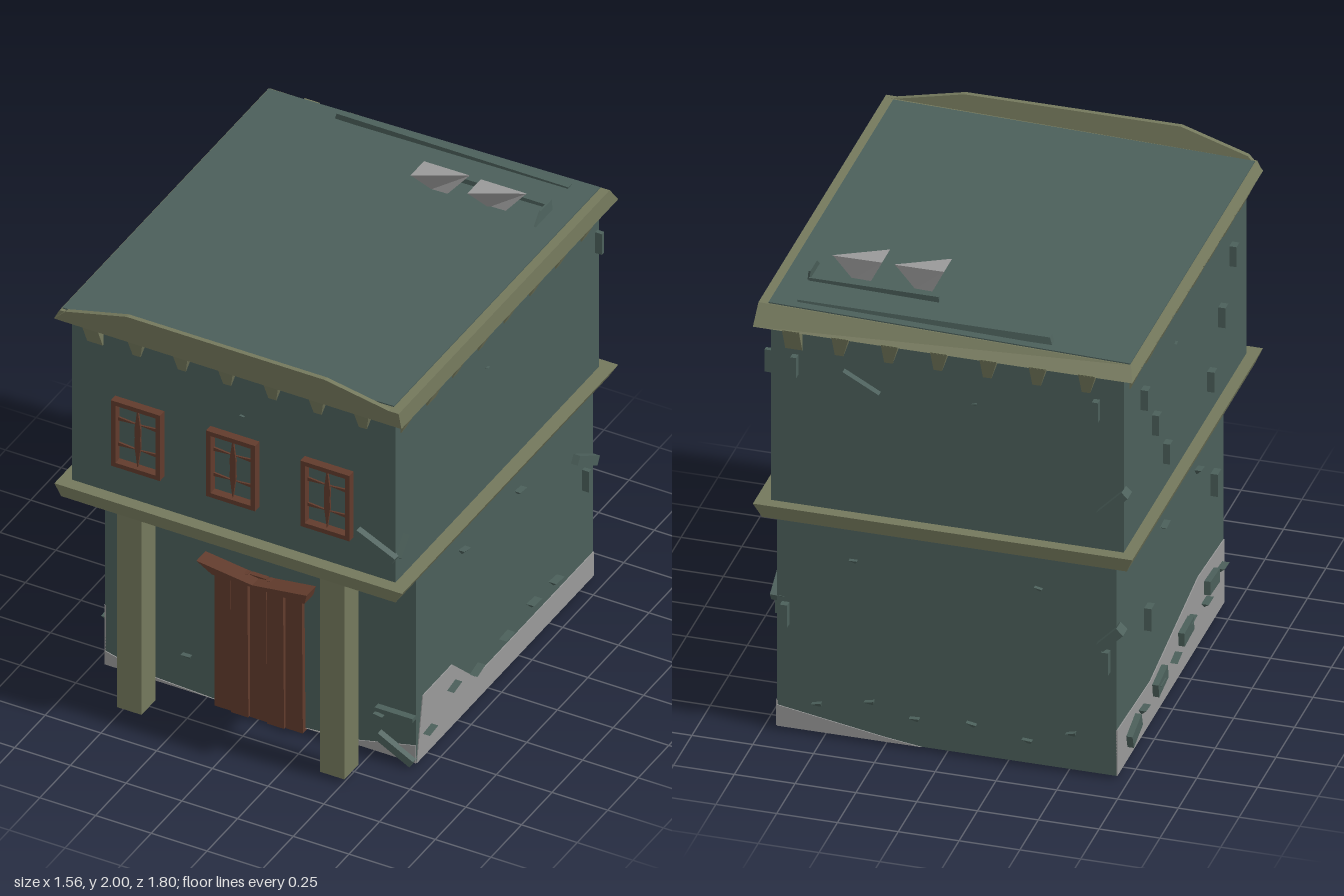
import * as THREE from 'three';

const teal = new THREE.MeshStandardMaterial({ color: 0x4b5f5a, side: THREE.DoubleSide });
const olive = new THREE.MeshStandardMaterial({ color: 0x74785c });
const brown = new THREE.MeshStandardMaterial({ color: 0x613b2c });
const grey = new THREE.MeshStandardMaterial({ color: 0x999999 });
teal.name = 'teal plaster';
olive.name = 'olive trim';
brown.name = 'brown wood';
grey.name = 'bare grey stone';

// Solid between two four-cornered loops, each counter-clockwise from above
function hull(b, t, caps = true) {
  const pos = [];
  const quad = (p, q, r, s) => pos.push(...p, ...q, ...r, ...p, ...r, ...s);
  for (let i = 0; i < 4; i++) {
    const j = (i + 1) % 4;
    quad(b[i], b[j], t[j], t[i]);
  }
  if (caps) {
    quad(t[0], t[1], t[2], t[3]);
    quad(b[3], b[2], b[1], b[0]);
  }
  const g = new THREE.BufferGeometry();
  g.setAttribute('position', new THREE.Float32BufferAttribute(pos, 3));
  g.computeVertexNormals();
  return g;
}

const rect = (x0, x1, z0, z1, y) => [[x0, y, z1], [x1, y, z1], [x1, y, z0], [x0, y, z0]];

function add(parent, name, geo, mat, x = 0, y = 0, z = 0, tilt = 0) {
  const m = new THREE.Mesh(geo, mat);
  m.name = name;
  m.position.set(x, y, z);
  m.rotation.z = tilt;
  parent.add(m);
  return m;
}

function plate(points, depth) {
  const shape = new THREE.Shape(points.map(p => new THREE.Vector2(...p)));
  return new THREE.ExtrudeGeometry(shape, { depth, bevelEnabled: false });
}

// Four groups (front, left, back, right): local x runs along the wall, local z points outwards
function wallFrames(parent, name, distances) {
  return distances.map((distance, side) => {
    const g = new THREE.Group();
    const angle = side * Math.PI / 2;
    g.name = name;
    g.rotation.y = angle;
    g.position.set(Math.sin(angle) * distance, 0, Math.cos(angle) * distance);
    parent.add(g);
    return g;
  });
}

function makeWindow(parent, x) {
  const w = new THREE.Group();
  w.name = 'window';
  w.position.set(x, 1.345, 0);
  parent.add(w);
  for (const s of [-1, 1]) {
    add(w, 'frameSide', new THREE.BoxGeometry(0.02, 0.315, 0.036), brown, s * 0.1, 0, 0.018);
    add(w, 'frameRail', new THREE.BoxGeometry(0.22, 0.02, 0.036), brown, 0, s * 0.148, 0.018);
    // Splintered glazing bars, thick at the frame and thin in the middle
    for (const y of [-0.062, 0.06]) {
      add(w, 'crossBar', plate([[s * 0.09, 0.008], [0, 0], [s * 0.09, -0.008]], 0.008), brown, 0, y, 0.004);
    }
    add(w, 'mullion', plate([[0, s * 0.145], [-0.014, s * 0.04], [-0.012, 0], [0.012, 0], [0.014, s * 0.04]], 0.009), brown, 0, 0, 0.01);
  }
}

export function createModel() {
  const model = new THREE.Group();
  model.name = 'house';

  // Storeys and trim
  add(model, 'lowerWalls', hull(rect(-0.7, 0.695, -0.85, 0.6, 0.015), rect(-0.7, 0.695, -0.85, 0.6, 0.98), false), teal);
  add(model, 'upperWalls', hull(rect(-0.73, 0.72, -0.85, 0.815, 1.02), rect(-0.73, 0.72, -0.85, 0.815, 1.84), false), teal);
  add(model, 'floorBand', hull(rect(-0.755, 0.745, -0.89, 0.86, 0.97), rect(-0.78, 0.78, -0.9, 0.87, 1.03)), olive);
  const roofRect = (x0, x1, z0, z1, lift) =>
    rect(x0, x1, z0, z1, 0).map(([x, , z]) => [x, 1.875 + (x + 0.757) * 0.0228 + lift, z]);
  add(model, 'roofTrim', hull(rect(-0.78, 0.78, -0.9, 0.87, 1.83), roofRect(-0.757, 0.775, -0.84, 0.87, 0)), olive);
  add(model, 'roof', hull(roofRect(-0.752, 0.735, -0.835, 0.855, -0.002), roofRect(-0.752, 0.735, -0.835, 0.855, 0.005)), teal);

  // Raised front parapet leaning outwards
  const parapet = plate([[-0.78, 1.83], [0.78, 1.83], [0.775, 1.91], [0.73, 1.91], [0.45, 1.97], [-0.44, 1.97], [-0.72, 1.89]], 0.02);
  const p = parapet.attributes.position;
  for (let i = 0; i < p.count; i++) p.setZ(i, p.getZ(i) + 0.855 + (p.getY(i) - 1.83) * 0.18);
  parapet.computeVertexNormals();
  add(model, 'parapet', parapet, olive);

  // Porch pillars
  for (const x of [-0.46, 0.45]) add(model, 'pillar', new THREE.BoxGeometry(0.11, 0.955, 0.115), olive, x, 0.4975, 0.783);

  const upper = wallFrames(model, 'upperWallDetails', [0.815, 0.72, 0.85, 0.73]);
  const lower = wallFrames(model, 'lowerWallDetails', [0.6, 0.695, 0.85, 0.7]);

  // Tapered brackets under the roof trim
  const bracketTop = rect(-0.035, 0.035, -0.005, 0.052, 1.835);
  const bracket = hull(rect(-0.035, 0, -0.005, 0.004, 1.73), bracketTop);
  const block = hull(rect(-0.035, 0.035, -0.005, 0.006, 1.73), bracketTop);
  upper.forEach((wall, side) => {
    const long = side % 2;
    for (let i = 0; i < 7 + long; i++) {
      const x = long ? -0.74 + i * 0.211 : -0.625 + i * 0.203;
      add(wall, 'bracket', i === long ? block : bracket, olive, x);
    }
  });

  for (const x of [-0.427, 0, 0.423]) makeWindow(upper[0], x);

  // Plank door with a sagging lintel
  for (let i = 0; i < 5; i++) {
    add(lower[0], 'doorPlank', plate([[0.002, 0], [0.079, 0], [0.074, 0.69], [0.002, 0.69]],
      0.032 + (i % 2) * 0.008), brown, -0.2 + i * 0.08, 0, -0.01);
  }
  add(lower[0], 'lintel', plate([[-0.25, 0.715], [-0.18, 0.672], [0.235, 0.672], [0.245, 0.715], [0, 0.682]], 0.075), brown);

  // Bare stone where plaster has fallen away; each outline starts and ends at the wall foot
  const patch = (side, from, to, outline) => add(lower[side], 'barePatch',
    plate([[from, 0.015], [to, 0.015], ...outline], 0.008), grey, 0, 0, -0.004);
  patch(0, 0.2, 0.695, [[0.695, 0.1], [0.4, 0.03]]);
  patch(0, -0.7, -0.2, [[-0.5, 0.03], [-0.7, 0.08]]);
  patch(1, -0.6, 0.85, [[0.85, 0.13], [-0.12, 0.13], [-0.31, 0.31], [-0.55, 0.31]]);
  patch(2, -0.695, -0.1, [[-0.25, 0.035], [-0.695, 0.11]]);
  patch(3, -0.85, 0.6, [[0.6, 0.3], [0.25, 0.32], [-0.4, 0.2], [-0.85, 0.22]]);

  // Loose planks of plaster
  const brick = (wall, x, y, w, h, tilt = 0) =>
    add(wall, 'looseBrick', new THREE.BoxGeometry(w, h, 0.06), teal, x, y, 0, tilt);
  brick(upper[0], 0.64, 1.19, 0.19, 0.035, -0.45);
  brick(upper[1], -0.78, 1.19, 0.1, 0.015, 0.8);
  brick(upper[2], -0.35, 1.62, 0.17, 0.03, -0.5);
  brick(upper[2], 0.69, 1.25, 0.15, 0.035, 0.8);
  brick(lower[0], 0.37, 0.31, 0.06, 0.03);
  brick(lower[0], 0.61, 0.235, 0.17, 0.018);
  brick(lower[0], 0.61, 0.065, 0.18, 0.035, -0.5);
  brick(lower[1], 0.76, 0.635, 0.19, 0.04, -0.55);
  brick(lower[2], 0.68, 0.64, 0.12, 0.04, 0.8);

  // Upright bricks near the corners, and a row along the bare right wall
  for (const s of [-1, 1]) {
    brick(upper[2], s * 0.62, 1.66, 0.025, 0.09);
    brick(lower[2], s * 0.66, 0.53, 0.03, 0.1);
    brick(lower[3], s * 0.45, 0.58 + s * 0.06, 0.05, 0.1);
    [1.595, 1.4, 1.19].forEach((y, i) => brick(upper[3], s * (0.6 - i * 0.15), y, 0.04, 0.09));
  }
  brick(upper[1], 0.83, 1.65, 0.02, 0.1);
  brick(lower[1], 0.77, 0.53, 0.02, 0.1);
  for (let i = 0; i < 4; i++) brick(lower[3], -0.66 + i * 0.35, 0.12 + i * 0.035, 0.13, 0.06, 0.3 - i * 0.12);

  // Small wedge-shaped chips scattered low on the walls, with a few higher up
  let seed = 7;
  const random = () => (seed = (seed * 16807) % 2147483647) / 2147483647;
  const chip = hull(rect(0.005, 0.02, -0.03, 0.004, -0.02), rect(-0.035, 0.035, -0.03, 0.035, 0.015));
  const addChip = (wall, x, y, size) =>
    add(wall, 'wallChip', chip, teal, x, y, 0, (random() - 0.5) * 0.6).scale.setScalar(size);
  lower.forEach((wall, side) => {
    const size = side % 2 ? 1 : 0.6;
    for (let i = 0; i < 6; i++) {
      const x = -0.55 + i * 0.21 + random() * 0.05;
      if (side > 0 || Math.abs(x) > 0.25) addChip(wall, x, 0.11 + random() * 0.1, size);
    }
    for (const s of [-1, 1]) addChip(wall, s * (side % 2 ? 0.23 : 0.38), 0.81, size * 0.8);
  });
  for (const wall of upper) addChip(wall, -0.2 + random() * 0.4, 1.6, 0.3);

  // Broken stones and fallen slabs on the roof
  for (const x of [0.1, 0.355]) {
    const top = [[x, 2, -0.44], [x + 0.205, 2, -0.55], [x + 0.2, 2, -0.552], [x, 2, -0.55]];
    add(model, 'roofStone', hull(rect(x + 0.05, x + 0.12, -0.545, -0.52, 1.9), top), grey);
  }
  add(model, 'roofSlab', hull(rect(-0.42, 0.62, -0.8, -0.77, 1.89), rect(-0.41, 0.63, -0.795, -0.765, 1.92)), teal, 0, 0, 0);
  add(model, 'roofSlat', hull(rect(0.1, 0.635, -0.62, -0.612, 1.89), rect(0.1, 0.635, -0.622, -0.614, 1.925)), teal);
  add(model, 'roofSplinter', hull(rect(0.635, 0.645, -0.61, -0.45, 1.89), rect(0.628, 0.636, -0.62, -0.53, 1.955)), teal);
  return model;
}
